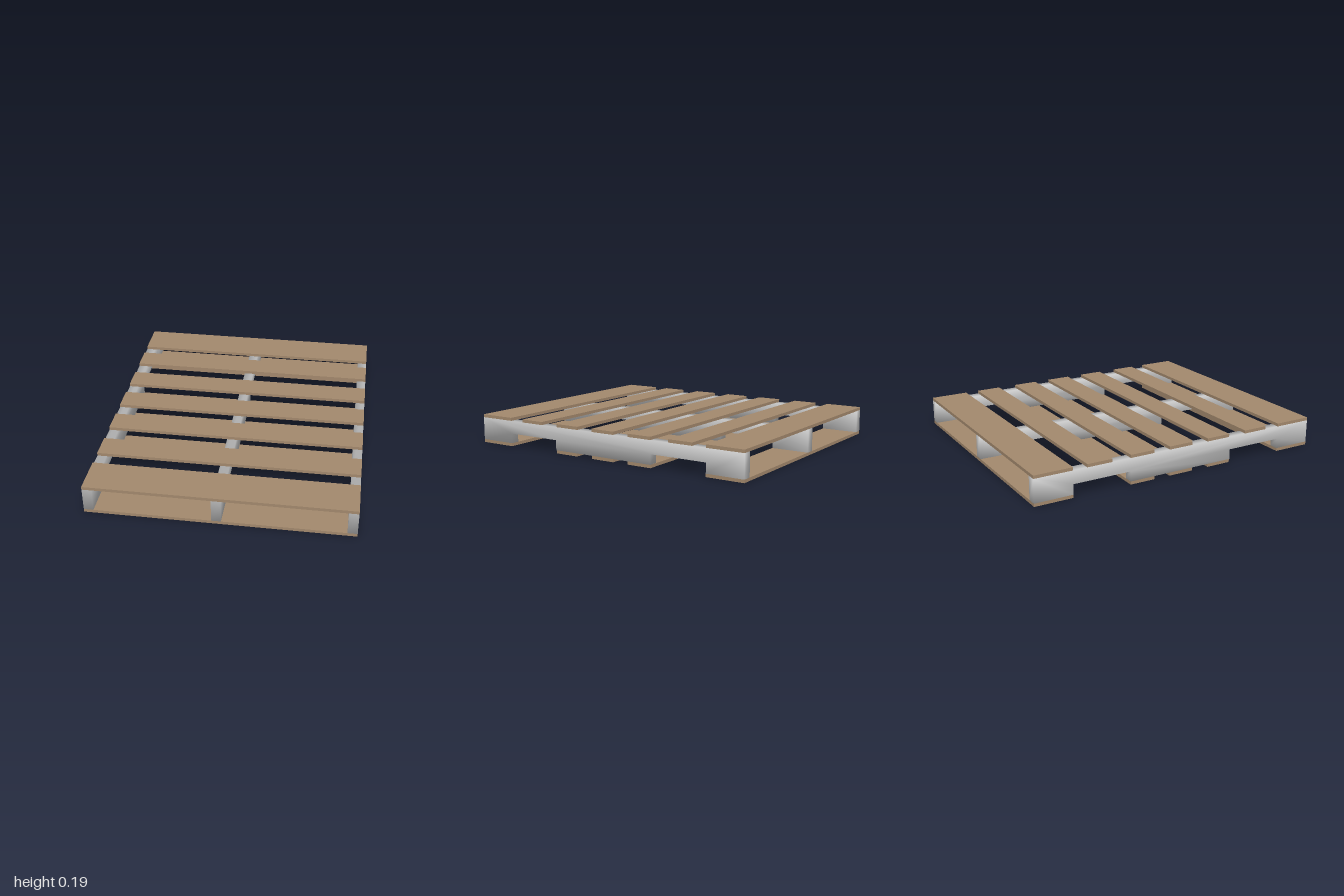
import * as THREE from 'three';
import { mergeVertices } from 'three/addons/utils/BufferGeometryUtils.js';

const WIDTH = 1.664, BOARD = 0.02, HEIGHT = 0.19, BEAM = 0.06;

// Notched side profile of a beam, extruded across x, with softly shaded edges
function beamGeometry() {
  const low = BOARD, notch = 0.085, high = HEIGHT - BOARD;
  const shape = new THREE.Shape([
    [-1, low], [-0.75, low], [-0.75, notch], [-0.365, notch], [-0.365, low],
    [0.365, low], [0.365, notch], [0.75, notch], [0.75, low], [1, low],
    [1, high], [-1, high],
  ].map(([z, y]) => new THREE.Vector2(z, y)));
  const geometry = new THREE.ExtrudeGeometry(shape, { depth: BEAM, bevelEnabled: false });
  geometry.translate(0, 0, -BEAM / 2).rotateY(-Math.PI / 2);
  geometry.deleteAttribute('normal');
  geometry.deleteAttribute('uv');
  const smooth = mergeVertices(geometry, 1e-4);
  smooth.computeVertexNormals();
  return smooth;
}

export function createModel() {
  const pallet = new THREE.Group();
  pallet.name = 'pallet';
  const wood = new THREE.MeshStandardMaterial({ color: 0xa2886c });
  wood.name = 'brown wood';
  const grey = new THREE.MeshStandardMaterial({ color: 0xc4c4c4 });
  grey.name = 'light grey';

  // Three lengthwise beams
  const beam = beamGeometry();
  for (const [name, x] of [['rightBeam', -0.802], ['middleBeam', -0.014], ['leftBeam', 0.802]]) {
    const mesh = new THREE.Mesh(beam, grey);
    mesh.name = name;
    mesh.position.x = x;
    pallet.add(mesh);
  }

  // Crosswise boards: [centre z, depth]
  const addBoards = (name, y, rows) => rows.forEach(([z, depth], i) => {
    const mesh = new THREE.Mesh(new THREE.BoxGeometry(WIDTH, BOARD, depth), wood);
    mesh.name = name + (i + 1);
    mesh.position.set(0, y, z);
    pallet.add(mesh);
  });
  const wide = 0.25, narrow = 0.166;
  addBoards('deckBoard', HEIGHT - BOARD / 2, [
    [-0.875, wide], [-0.575, narrow], [-0.283, narrow], [-0.007, narrow],
    [0.273, narrow], [0.565, narrow], [0.875, wide],
  ]);
  addBoards('bottomBoard', BOARD / 2, [
    [-0.875, wide], [-0.283, narrow], [-0.007, narrow], [0.278, narrow], [0.875, wide],
  ]);

  return pallet;
}
